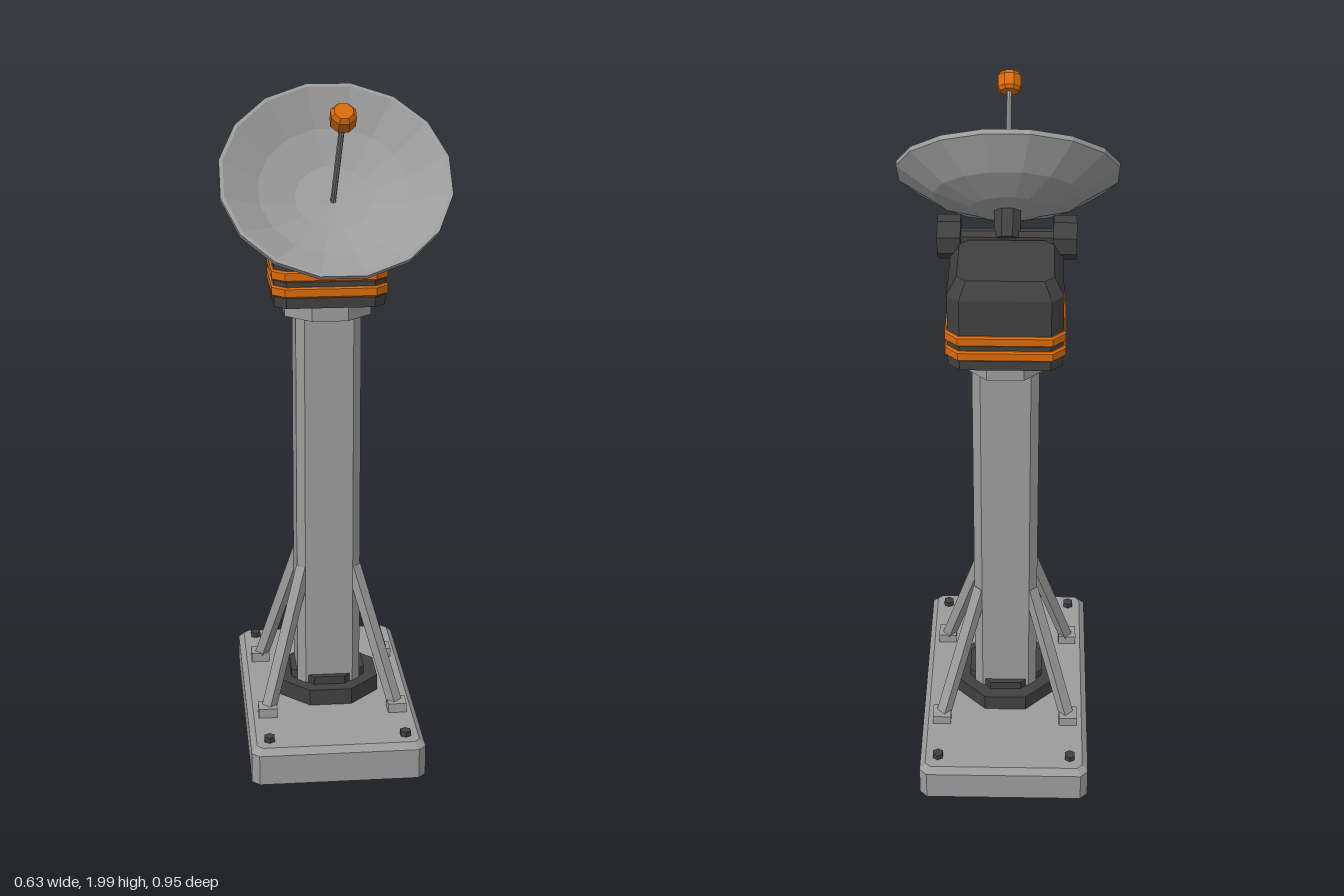
import * as THREE from 'three';

const grey = new THREE.MeshStandardMaterial({ color: 0x9c9c9c });
const dark = new THREE.MeshStandardMaterial({ color: 0x404040 });
const orange = new THREE.MeshStandardMaterial({ color: 0xd96a0b });
const ZC = -0.043; // column axis
const EIGHTH = Math.PI / 8;

// Add a mesh with faceted normals
function add(parent, name, geometry, material, x = 0, y = 0, z = 0) {
  const g = geometry.index ? geometry.toNonIndexed() : geometry;
  g.computeVertexNormals();
  const mesh = new THREE.Mesh(g, material);
  mesh.name = name;
  mesh.position.set(x, y, z);
  parent.add(mesh);
  return mesh;
}

// Solid with chamfered corners; layers are [y, halfX, halfZ, chamfer] from the bottom up
function chamferedBlock(layers) {
  const pos = [], idx = [];
  for (const [y, a, b, c] of layers) {
    const ring = [[a, b - c], [a, c - b], [a - c, -b], [c - a, -b],
      [-a, c - b], [-a, b - c], [c - a, b], [a - c, b]];
    for (const [x, z] of ring) pos.push(x, y, z);
  }
  for (let l = 0; l < layers.length - 1; l++) {
    for (let i = 0; i < 8; i++) {
      const p = l * 8 + i, q = l * 8 + (i + 1) % 8;
      idx.push(p, q, q + 8, p, q + 8, p + 8);
    }
  }
  const t = (layers.length - 1) * 8;
  for (let i = 1; i < 7; i++) idx.push(0, i + 1, i, t, t + i, t + i + 1);
  const g = new THREE.BufferGeometry();
  g.setAttribute('position', new THREE.Float32BufferAttribute(pos, 3));
  g.setIndex(idx);
  return g;
}

// Octagonal prism with flat sides facing the axes
function octagon(apothem, height) {
  const r = apothem / Math.cos(EIGHTH);
  return new THREE.CylinderGeometry(r, r, height, 8, 1, false, EIGHTH);
}

// Faceted lathe with flat sides facing the axes
function lathe(points, sides) {
  return new THREE.LatheGeometry(points.map(([r, y]) => new THREE.Vector2(r, y)), sides, Math.PI / sides);
}

export function createModel() {
  const model = new THREE.Group();
  model.name = 'dishTower';

  // Base slab with corner bolts
  add(model, 'baseSlab', chamferedBlock([
    [0, 0.257, 0.432, 0.022], [0.092, 0.257, 0.432, 0.022], [0.11, 0.24, 0.415, 0.016],
  ]), grey, 0, 0, ZC);
  for (const sx of [-1, 1]) {
    for (const sz of [-1, 1]) {
      add(model, 'baseBolt', new THREE.CylinderGeometry(0.017, 0.017, 0.02, 6), dark,
        sx * 0.202, 0.116, ZC + sz * 0.37);
    }
  }

  // Column and its collars
  add(model, 'lowerCollar', octagon(0.153, 0.05), dark, 0, 0.135, ZC);
  add(model, 'lowerCollarStep', octagon(0.113, 0.026), dark, 0, 0.172, ZC);
  add(model, 'column', chamferedBlock([[0.12, 0.096, 0.096, 0.024], [1.34, 0.096, 0.096, 0.024]]),
    grey, 0, 0, ZC);
  add(model, 'upperCollar', octagon(0.127, 0.048), grey, 0, 1.342, ZC);

  // Diagonal braces with foot blocks
  for (const sx of [-1, 1]) {
    for (const sz of [-1, 1]) {
      add(model, 'braceFoot', new THREE.BoxGeometry(0.056, 0.03, 0.056), grey,
        sx * 0.197, 0.124, ZC + sz * 0.197);
    }
  }
  for (let k = 0; k < 4; k++) {
    const arm = new THREE.Group();
    arm.name = 'brace';
    arm.position.z = ZC;
    arm.rotation.y = Math.PI / 4 + k * Math.PI / 2;
    const strut = add(arm, 'braceStrut', new THREE.BoxGeometry(0.034, Math.hypot(0.41, 0.165), 0.03),
      grey, 0, 0.332, 0.19);
    strut.rotation.x = Math.atan2(-0.165, 0.41);
    model.add(arm);
  }

  // Head housing with two bands
  add(model, 'headHousing', chamferedBlock([
    [1.363, 0.161, 0.147, 0.034], [1.582, 0.161, 0.147, 0.034], [1.63, 0.134, 0.12, 0.026],
  ]), dark, 0, 0, ZC);
  for (const y of [1.41, 1.457]) {
    add(model, 'headBand', chamferedBlock([
      [-0.016, 0.163, 0.15, 0.034], [-0.011, 0.168, 0.155, 0.036],
      [0.011, 0.168, 0.155, 0.036], [0.016, 0.163, 0.15, 0.034],
    ]), orange, 0, y, ZC);
  }
  add(model, 'frontPlate', new THREE.BoxGeometry(0.066, 0.032, 0.03), grey, 0, 1.53, 0.108);

  // Pivot and everything that tilts with the dish
  const pivot = new THREE.Group();
  pivot.name = 'dishPivot';
  pivot.position.set(0, 1.625, 0.108);
  model.add(pivot);
  for (const s of [-1, 1]) {
    add(pivot, 'pivotDrum', octagon(0.058, 0.066).rotateZ(Math.PI / 2), dark, s * 0.164, 0, 0);
  }
  add(pivot, 'pivotAxle', octagon(0.022, 0.28).rotateZ(Math.PI / 2), dark);

  const dish = new THREE.Group();
  dish.name = 'dishAssembly';
  dish.rotation.x = Math.PI / 4;
  pivot.add(dish);
  add(dish, 'dishHub', octagon(0.038, 0.09), dark, 0, 0.035, 0);
  add(dish, 'dish', lathe([
    [0, 0.068], [0.108, 0.08], [0.215, 0.116], [0.323, 0.186],
    [0.323, 0.2], [0.312, 0.2], [0.212, 0.136], [0.108, 0.098], [0, 0.085],
  ], 16), grey);
  add(dish, 'feedRod', new THREE.CylinderGeometry(0.008, 0.008, 0.37, 8), grey, 0, 0.265, 0);
  add(dish, 'feedHorn', lathe([
    [0, 0.436], [0.028, 0.436], [0.036, 0.446], [0.036, 0.481], [0.026, 0.494], [0, 0.494],
  ], 8), orange);

  return model;
}
